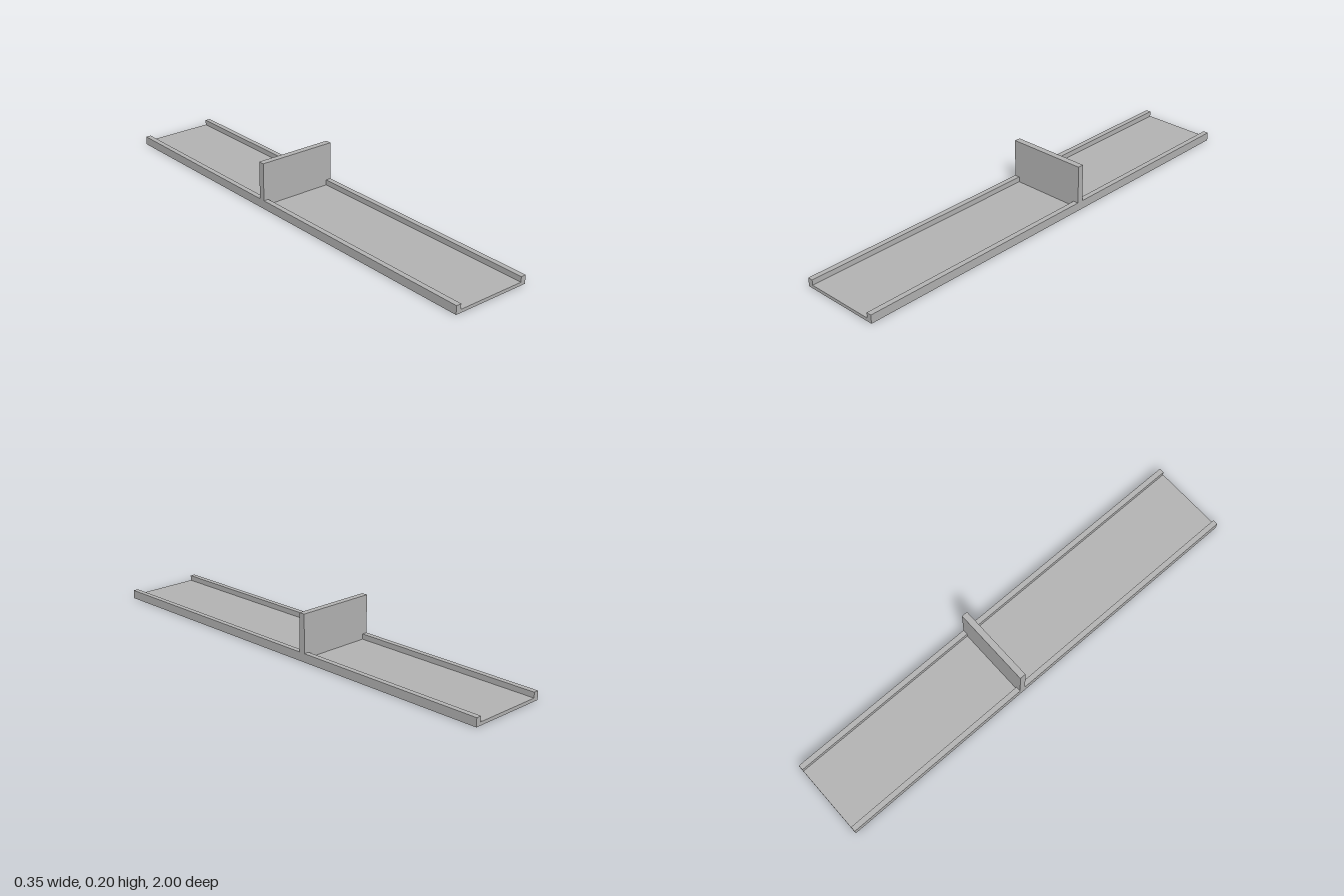
import * as THREE from 'three';

const HALF_WIDTH = 0.177, INNER = 0.154, FLOOR = 0.014, RAIL = 0.037;

// Extrudes a front outline from z0 to z1
function extrude(name, points, z0, z1, material) {
  const shape = new THREE.Shape(points.map(([x, y]) => new THREE.Vector2(x, y)));
  const geometry = new THREE.ExtrudeGeometry(shape, { depth: z1 - z0, bevelEnabled: false });
  geometry.translate(0, 0, z0);
  const mesh = new THREE.Mesh(geometry, material);
  mesh.name = name;
  return mesh;
}

export function createModel() {
  const grey = new THREE.MeshStandardMaterial({ color: 0xb3b3b3 });
  grey.name = 'light grey';

  const model = new THREE.Group();
  model.name = 'channelWithDivider';

  // Long tray with a raised rail along each side
  model.add(extrude('channel', [
    [-HALF_WIDTH, 0], [HALF_WIDTH, 0], [HALF_WIDTH, RAIL], [INNER, RAIL],
    [INNER, FLOOR], [-INNER, FLOOR], [-INNER, RAIL], [-HALF_WIDTH, RAIL],
  ], -1, 1, grey));

  // Upright plate, notched to sit over the rails and reach the floor
  model.add(extrude('divider', [
    [-INNER, FLOOR], [INNER, FLOOR], [INNER, RAIL], [HALF_WIDTH, RAIL],
    [HALF_WIDTH, 0.202], [-HALF_WIDTH, 0.202], [-HALF_WIDTH, RAIL], [-INNER, RAIL],
  ], -0.131, -0.104, grey));

  return model;
}
